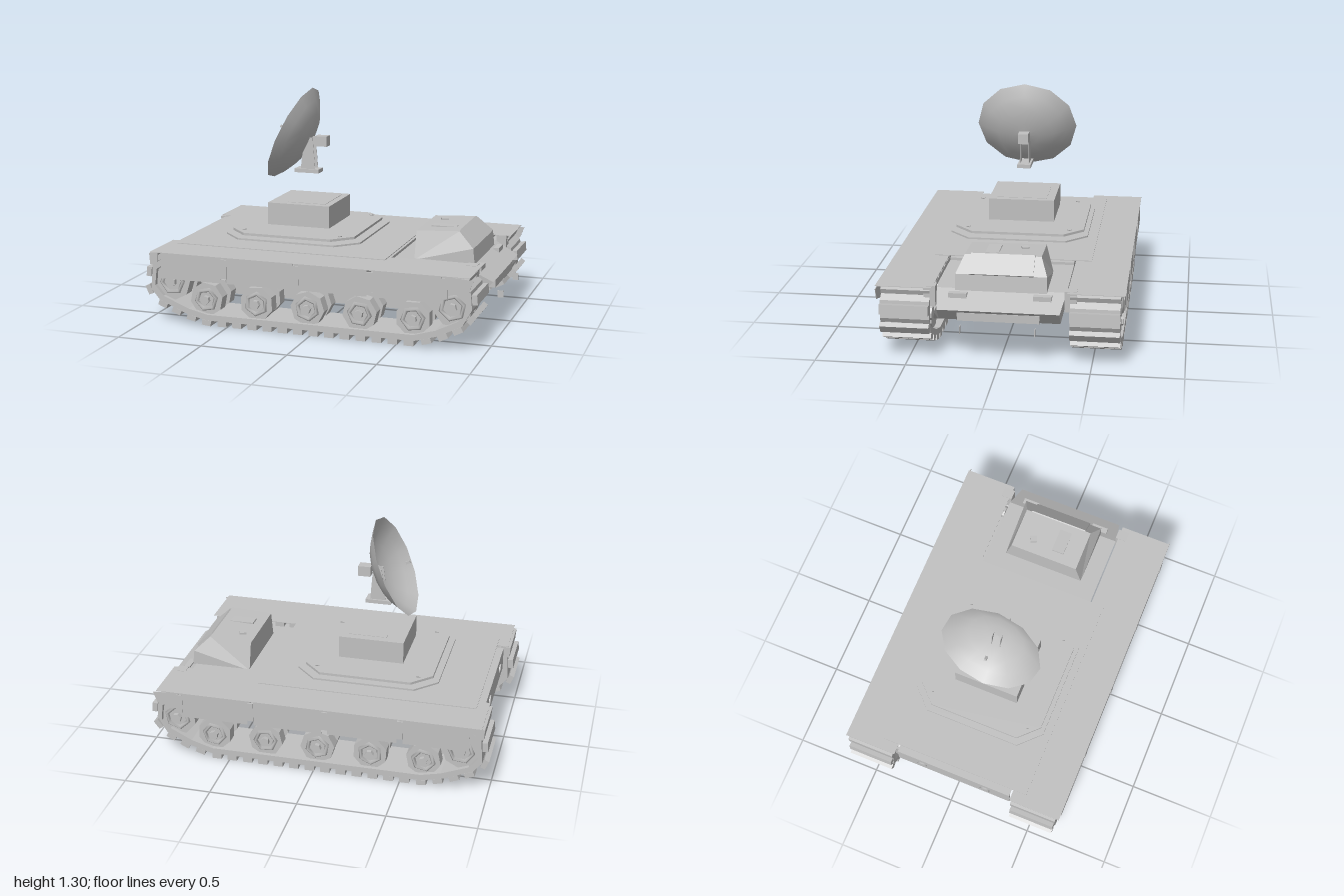
import * as THREE from 'three';

const metal = new THREE.MeshStandardMaterial({ color: 0xc0c0c0, side: THREE.DoubleSide });
metal.name = 'plainGrey';

function add(parent, name, geometry, x = 0, y = 0, z = 0) {
  const mesh = new THREE.Mesh(geometry, metal);
  mesh.name = name;
  mesh.position.set(x, y, z);
  parent.add(mesh);
  return mesh;
}

// Box given by its limits on each axis
function slab(parent, name, [x0, x1], [y0, y1], [z0, z1]) {
  const geometry = new THREE.BoxGeometry(x1 - x0, y1 - y0, z1 - z0);
  return add(parent, name, geometry, (x0 + x1) / 2, (y0 + y1) / 2, (z0 + z1) / 2);
}

// Side profile (x, y) extruded across z, centred on z = 0
function profile(points, width) {
  const shape = new THREE.Shape(points.map(p => new THREE.Vector2(...p)));
  return new THREE.ExtrudeGeometry(shape, { depth: width, bevelEnabled: false }).translate(0, 0, -width / 2);
}

// Moves vertices by a rule, then restores flat faces
function reshape(geometry, rule) {
  const p = geometry.attributes.position;
  const v = new THREE.Vector3();
  for (let i = 0; i < p.count; i++) {
    rule(v.fromBufferAttribute(p, i));
    p.setXYZ(i, v.x, v.y, v.z);
  }
  geometry.computeVertexNormals();
  return geometry;
}

// Flat octagon with cut corners, lying in the xz plane
function octagon(x0, x1, halfZ, cut, height) {
  const shape = new THREE.Shape([
    [x0 + cut, -halfZ], [x1 - cut, -halfZ], [x1, -halfZ + cut], [x1, halfZ - cut],
    [x1 - cut, halfZ], [x0 + cut, halfZ], [x0, halfZ - cut], [x0, -halfZ + cut],
  ].map(p => new THREE.Vector2(...p)));
  return new THREE.ExtrudeGeometry(shape, { depth: height, bevelEnabled: false }).rotateX(-Math.PI / 2);
}

const trackPath = [
  [-0.62, 0.047], [0.6, 0.047], [0.73, 0.085], [0.86, 0.15], [0.912, 0.22], [0.902, 0.32], [0.85, 0.358],
  [-0.88, 0.358], [-0.94, 0.32], [-0.95, 0.2], [-0.9, 0.14], [-0.74, 0.075],
].map(p => new THREE.Vector2(...p));

function makeTrack() {
  const track = new THREE.Group();
  track.name = 'track';
  const centre = new THREE.Vector2(0, 0.21);
  const grow = s => trackPath.map(p => p.clone().addScaledVector(
    new THREE.Vector2(Math.sign(p.x) * Math.min(1, Math.max(0, (Math.abs(p.x) - 0.6) / 0.3)), p.y < centre.y ? -1 : 1).normalize(), s));
  const bandShape = new THREE.Shape(grow(0.017));
  bandShape.holes.push(new THREE.Path(grow(-0.017)));
  add(track, 'trackBand', new THREE.ExtrudeGeometry(bandShape, { depth: 0.27, bevelEnabled: false }), 0, 0, 0.38);

  // Cleats evenly spaced around the loop
  const loop = new THREE.CurvePath();
  trackPath.forEach((p, i) => loop.add(new THREE.LineCurve(p, trackPath[(i + 1) % trackPath.length])));
  const count = Math.round(loop.getLength() / 0.0915);
  const cleat = new THREE.BoxGeometry(0.055, 0.03, 0.27);
  for (let i = 0; i < count; i++) {
    const p = loop.getPointAt(i / count);
    const a = loop.getPointAt((i / count + 0.995) % 1);
    const b = loop.getPointAt((i / count + 0.005) % 1);
    const t = b.sub(a).normalize();
    const link = add(track, 'trackCleat', cleat, p.x + t.y * 0.032, p.y - t.x * 0.032, 0.515);
    link.rotation.z = Math.atan2(t.y, t.x);
  }
  return track;
}

function makeWheel(name, radius, x, y, turn) {
  const wheel = new THREE.Group();
  wheel.name = name;
  const disc = (part, r, depth, sides, z) => {
    const g = new THREE.CylinderGeometry(r, r, depth, sides).toNonIndexed().rotateX(Math.PI / 2);
    g.computeVertexNormals();
    add(wheel, part, g, 0, 0, z);
  };
  disc('innerTyre', radius * 0.95, 0.07, 8, 0.45);
  disc('outerTyre', radius, 0.07, 8, 0.59);
  disc('axle', radius * 0.35, 0.24, 8, 0.5);
  const rim = new THREE.TorusGeometry(radius * 0.6, 0.013, 4, 6);
  add(wheel, 'wheelRim', rim, 0, 0, 0.627);
  disc('hub', radius * 0.25, 0.03, 6, 0.635);
  wheel.position.set(x, y, 0);
  wheel.rotation.z = turn;
  return wheel;
}

// Running gear, fender and skirts of one side, built at +z
function makeSide() {
  const side = new THREE.Group();
  side.name = 'runningGear';
  side.add(makeTrack());
  for (let i = 0; i < 5; i++) side.add(makeWheel('roadWheel', 0.1, -0.63 + i * 0.305, 0.148, 0.2 + i * 0.25));
  side.add(makeWheel('driveSprocket', 0.11, 0.81, 0.23, 0.3));
  side.add(makeWheel('idlerWheel', 0.11, -0.84, 0.235, 0.1));
  add(side, 'suspensionPanel', profile([[-0.72, 0.13], [0.64, 0.13], [0.78, 0.225], [-0.84, 0.225]], 0.02), 0, 0, 0.392);
  slab(side, 'fender', [-0.955, 0.915], [0.41, 0.413], [0.365, 0.675]);
  const panels = [[-0.89, -0.52], [-0.485, -0.09], [-0.055, 0.34], [0.375, 0.76]];
  for (const span of panels) {
    slab(side, 'skirtPanel', span, [0.262, 0.412], [0.668, 0.671]);
    slab(side, 'skirtHinge', [span[1], span[1] + 0.035], [0.29, 0.4], [0.666, 0.675]);
  }
  add(side, 'frontFlap', profile([[0.77, 0.3], [0.91, 0.335], [0.935, 0.4], [0.78, 0.412]], 0.004), 0, 0, 0.669);
  add(side, 'rearFlap', profile([[-0.965, 0.335], [-0.92, 0.335], [-0.915, 0.404], [-0.97, 0.4]], 0.28), 0, 0, 0.515);
  slab(side, 'noseBracket', [0.83, 0.89], [0.3, 0.415], [0.35, 0.415]);
  slab(side, 'headlamp', [0.85, 0.885], [0.34, 0.378], [0.18, 0.28]);
  slab(side, 'towHook', [0.963, 0.998], [0.19, 0.23], [0.2, 0.204]);
  return side;
}

function makeDish() {
  const antenna = new THREE.Group();
  antenna.name = 'antenna';
  slab(antenna, 'pedestalBase', [-0.31, -0.16], [0.8, 0.822], [-0.04, 0.04]);
  for (const z of [-0.026, 0.026]) {
    const plate = profile([[-0.275, 0.822], [-0.185, 0.822], [-0.2, 1.01], [-0.25, 1.01]], 0.004);
    add(antenna, 'pedestalPlate', plate, 0, 0, z);
  }
  slab(antenna, 'receiverBox', [-0.185, -0.112], [0.96, 1.02], [-0.03, 0.03]);

  // Shallow bowl opening backwards and upwards
  const bowl = new THREE.Group();
  bowl.name = 'dish';
  const curve = [[0, -0.115], [0.08, -0.108], [0.17, -0.085], [0.24, -0.045], [0.298, 0]];
  add(bowl, 'dishBowl', new THREE.LatheGeometry(curve.map(p => new THREE.Vector2(...p)), 12));
  add(bowl, 'feedHorn', new THREE.BoxGeometry(0.014, 0.025, 0.014), 0, 0.075, 0);
  bowl.position.set(-0.33, 1.03, 0);
  bowl.rotation.z = Math.atan2(0.91, 0.41);
  antenna.add(bowl);
  return antenna;
}

export function createModel() {
  const model = new THREE.Group();
  model.name = 'radarVehicle';

  // Hull with narrowed belly and tapered nose
  const hull = profile([
    [-0.78, 0.165], [0.66, 0.165], [0.9, 0.235], [0.965, 0.31], [0.82, 0.385], [0.38, 0.39],
    [0.38, 0.405], [-0.93, 0.405], [-0.93, 0.27],
  ], 0.71);
  add(model, 'hull', reshape(hull, v => {
    if (v.y < 0.2) v.z *= 0.88;
    if (v.x > 0.88) v.z *= 0.93;
  }));
  slab(model, 'deckPlate', [-0.89, 0.375], [0.414, 0.418], [-0.455, 0.445]);
  slab(model, 'noseBar', [0.9, 0.955], [0.25, 0.295], [-0.222, 0.222]);
  for (const z of [-0.2, 0.2]) {
    const cap = new THREE.CylinderGeometry(0.03, 0.03, 0.01, 10).rotateZ(Math.PI / 2);
    add(model, 'rearCap', cap, -0.933, 0.34, z);
  }

  // Crew cabin with sloped sides and windscreen plate
  const cabin = profile([[0.49, 0.38], [0.84, 0.38], [0.83, 0.47], [0.74, 0.555], [0.49, 0.542]], 0.5);
  add(model, 'cabin', reshape(cabin, v => { if (v.y > 0.5) v.z *= 0.84; }));
  const screen = add(model, 'windscreenPlate', new THREE.BoxGeometry(0.13, 0.008, 0.35), 0.787, 0.516, 0);
  screen.rotation.z = Math.atan2(-0.085, 0.09);
  slab(model, 'cabinHatch', [0.55, 0.695], [0.54, 0.554], [0.03, 0.105]);
  const vent = slab(model, 'cabinVent', [0.555, 0.595], [0.54, 0.556], [-0.12, -0.08]);
  vent.rotation.y = 0.4;

  // Turntable plates and equipment housing
  add(model, 'lowerTurntable', octagon(-0.645, 0.18, 0.405, 0.12, 0.01), 0, 0.455, 0);
  add(model, 'upperTurntable', octagon(-0.61, 0.14, 0.38, 0.11, 0.014), 0, 0.478, 0);
  slab(model, 'housing', [-0.42, -0.04], [0.51, 0.64], [-0.195, 0.195]);
  slab(model, 'housingPanel', [-0.31, -0.08], [0.64, 0.642], [-0.147, 0.147]);
  for (const x of [-0.53, 0.06]) for (const z of [-0.3, 0.3]) {
    add(model, 'turntableBolt', new THREE.CylinderGeometry(0.015, 0.015, 0.006, 3), x, 0.494, z);
  }

  model.add(makeDish());

  // Both sides, the second mirrored from the first
  const left = makeSide();
  const right = makeSide();
  right.scale.z = -1;
  model.add(left, right);
  return model;
}
